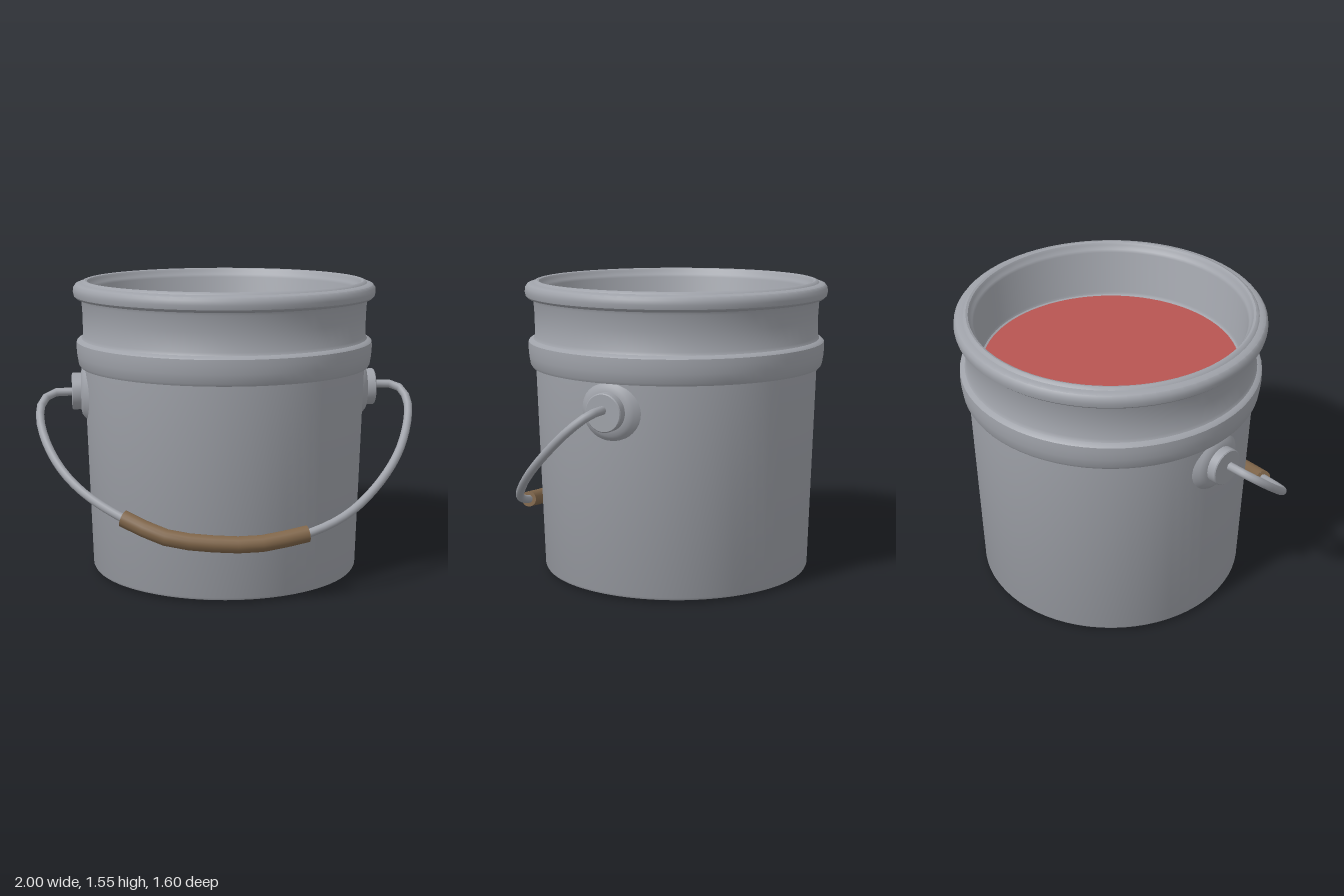
import * as THREE from 'three';
import { toCreasedNormals } from 'three/addons/utils/BufferGeometryUtils.js';

const metal = new THREE.MeshStandardMaterial({ color: 0x9fa2a9 });
metal.name = 'grey metal';
const paintRed = new THREE.MeshStandardMaterial({ color: 0xb85552 });
paintRed.name = 'red paint';
const gripBrown = new THREE.MeshStandardMaterial({ color: 0x80664a });
gripBrown.name = 'brown grip';

function add(parent, name, geometry, material) {
  const mesh = new THREE.Mesh(geometry, material);
  mesh.name = name;
  parent.add(mesh);
  return mesh;
}

// Turned part with sharp edges kept where the profile bends strongly
function turned(profile, segments) {
  const points = profile.map(([r, y]) => new THREE.Vector2(r, y));
  return toCreasedNormals(new THREE.LatheGeometry(points, segments), 0.6);
}

// Points given as x, y lie on the tilted plane of the lowered handle
function handleCurve(points) {
  return new THREE.CatmullRomCurve3(
    points.map(([x, y]) => new THREE.Vector3(x, y, (0.975 - y) * 1.155)), false, 'centripetal');
}

export function createModel() {
  const model = new THREE.Group();
  model.name = 'paintBucket';

  // Wall, raised band, rolled rim and inner wall in one profile
  add(model, 'bucketBody', turned([
    [0, 0], [0.6, 0.002], [0.69, 0.008], [0.705, 0.014], [0.711, 0.026],
    [0.744, 1.1], [0.764, 1.101], [0.772, 1.115], [0.779, 1.16], [0.782, 1.2],
    [0.78, 1.232], [0.772, 1.24], [0.755, 1.247], [0.747, 1.262],
    [0.747, 1.36], [0.752, 1.44], [0.757, 1.454], [0.778, 1.458], [0.791, 1.47],
    [0.796, 1.492], [0.793, 1.515], [0.782, 1.53], [0.765, 1.536], [0.75, 1.538],
    [0.742, 1.547], [0.732, 1.55], [0.721, 1.546], [0.714, 1.535], [0.708, 1.52],
    [0.701, 1.514], [0.694, 1.5], [0.68, 1.262], [0.674, 1.25], [0.66, 1.244],
  ], 72), metal).position.z = -0.005;

  // Paint surface
  const paint = add(model, 'paint', new THREE.CircleGeometry(0.666, 72), paintRed);
  paint.rotation.x = -Math.PI / 2;
  paint.position.set(0, 1.246, -0.006);

  // Handle sockets on both sides
  for (const side of [1, -1]) {
    const ear = turned([
      [0.17, 0.712], [0.155, 0.73], [0.137, 0.745], [0.122, 0.757], [0.097, 0.762],
      [0.097, 0.805], [0.092, 0.81], [0, 0.81],
    ], 36);
    ear.rotateZ(-Math.PI / 2);
    const mesh = add(model, side > 0 ? 'leftSocket' : 'rightSocket', ear, metal);
    mesh.rotation.y = side > 0 ? 0 : Math.PI;
    mesh.position.set(0, 0.963, -0.005);
  }

  // Wire handle, slightly uneven as if bent by hand
  const wire = handleCurve([
    [0.77, 0.976], [0.9, 0.976], [0.953, 0.955], [0.977, 0.9], [0.957, 0.81],
    [0.87, 0.665], [0.72, 0.525], [0.55, 0.42], [0.345, 0.352], [0.1, 0.318], [-0.12, 0.322],
    [-0.36, 0.352], [-0.565, 0.43], [-0.75, 0.53], [-0.87, 0.635], [-0.95, 0.76],
    [-0.977, 0.865], [-0.96, 0.925], [-0.91, 0.958], [-0.77, 0.963],
  ]);
  add(model, 'wireHandle', new THREE.TubeGeometry(wire, 56, 0.022, 12), metal);

  // Grip sleeve with closed ends
  const sleeve = handleCurve([
    [0.345, 0.352], [0.1, 0.318], [-0.12, 0.322], [-0.36, 0.352], [-0.565, 0.43],
  ]);
  add(model, 'grip', new THREE.TubeGeometry(sleeve, 8, 0.042, 16), gripBrown);
  for (const t of [0, 1]) {
    const end = add(model, 'gripEnd', new THREE.CircleGeometry(0.042, 16), gripBrown);
    const outward = sleeve.getTangentAt(t).multiplyScalar(t ? 1 : -1);
    end.position.copy(sleeve.getPointAt(t));
    end.quaternion.setFromUnitVectors(new THREE.Vector3(0, 0, 1), outward);
  }

  return model;
}
